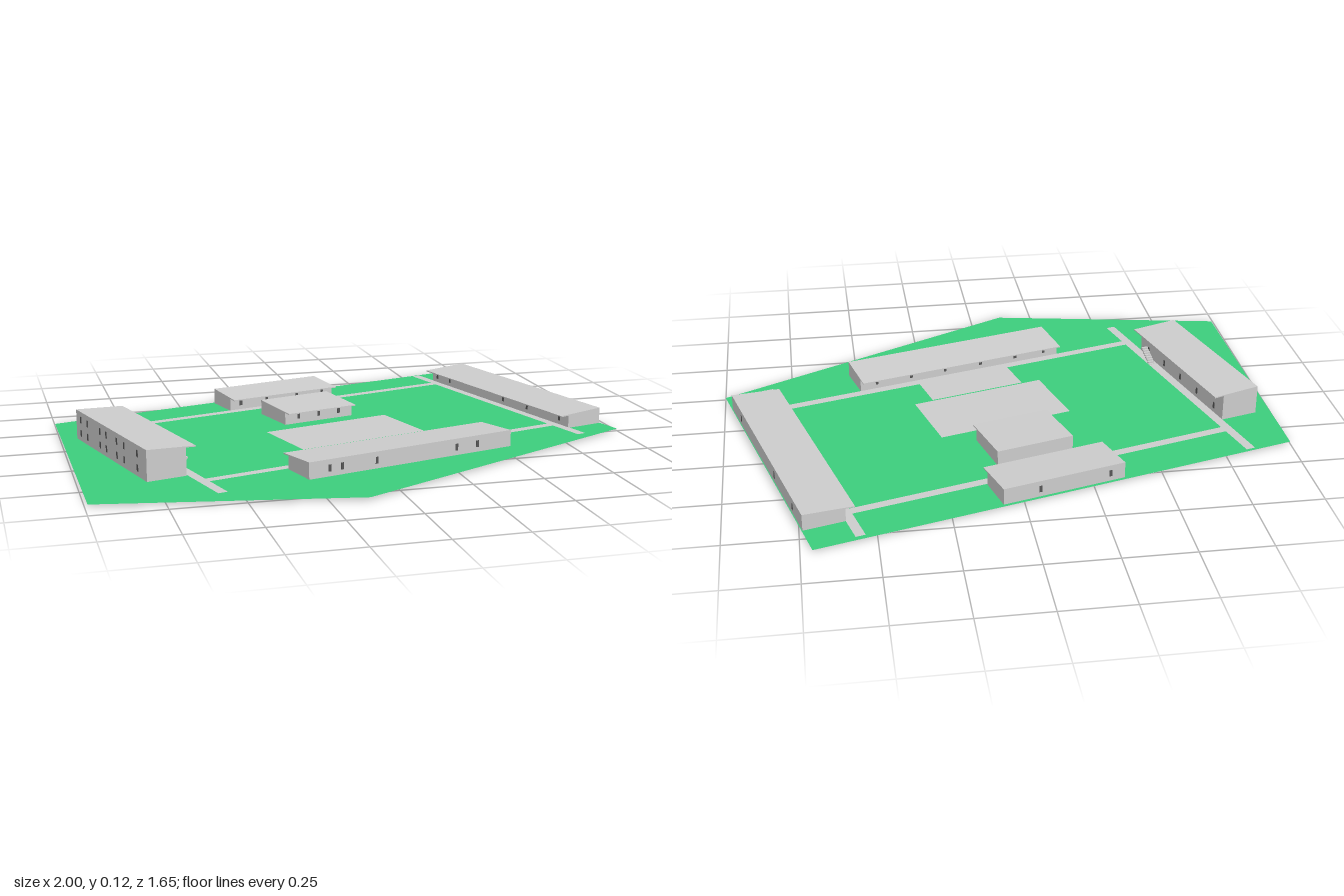
import * as THREE from 'three';

const GROUND = 0.008;
const grey = new THREE.MeshStandardMaterial({ color: 0xcccccc, flatShading: true });
const greySheet = new THREE.MeshStandardMaterial({ color: 0xcccccc, side: THREE.DoubleSide });
const green = new THREE.MeshStandardMaterial({ color: 0x3ccd7c, side: THREE.DoubleSide });
const dark = new THREE.MeshStandardMaterial({ color: 0x555555 });

function add(parent, name, geometry, material) {
  const mesh = new THREE.Mesh(geometry, material);
  mesh.name = name;
  parent.add(mesh);
  return mesh;
}

// Flat rectangle lying at height y, from (x0, z0) to (x1, z1)
function sheet(parent, name, [x0, x1, z0, z1], y) {
  const g = new THREE.PlaneGeometry(x1 - x0, z1 - z0).rotateX(-Math.PI / 2);
  g.translate((x0 + x1) / 2, y, (z0 + z1) / 2);
  return add(parent, name, g, greySheet);
}

// Cross-section given as [z, y] points, swept along x and centred
function sweep(points, length) {
  const shape = new THREE.Shape(points.map(([z, y]) => new THREE.Vector2(z, y)));
  return new THREE.ExtrudeGeometry(shape, { depth: length, bevelEnabled: false })
    .translate(0, 0, -length / 2).rotateY(-Math.PI / 2);
}

// Block with a lean-to roof: high wall at the back (-z), roof overhanging the front (+z)
function building(parent, name, o) {
  const group = new THREE.Group();
  group.name = name;
  group.position.set(o.x, 0, o.z);
  group.rotation.y = o.turn;
  parent.add(group);

  const back = -o.depth / 2, eave = o.depth / 2, wall = eave - o.overhang, t = 0.004;
  const top = z => o.high + (o.low - o.high) * (z - back) / o.depth;
  add(group, 'walls', sweep([[back, GROUND], [wall, GROUND], [wall, top(wall) - t], [back, o.high - t]], o.length), grey);
  add(group, 'roof', sweep([[back, o.high - t], [eave, o.low - t], [eave, o.low], [back, o.high]], o.length), grey);

  // Windows as thin panels, placed by fraction along the length
  const panels = (fractions, z, rows) => rows.forEach(y => fractions.forEach(f => {
    const g = new THREE.BoxGeometry(0.011, 0.024, 0.002);
    add(group, 'window', g.translate((f - 0.5) * o.length, y, z), dark);
  }));
  panels(o.backWindows || [], back, o.rows || [0.037]);
  panels(o.frontWindows || [], wall, [0.037]);
  return group;
}

export function createModel() {
  const model = new THREE.Group();
  model.name = 'campus';

  // Lawn
  const outline = [[-1, -0.37], [0.71, -0.83], [1, 0.25], [-0.12, 0.82], [-0.99, 0.66]];
  const lawn = new THREE.ShapeGeometry(new THREE.Shape(outline.map(([x, z]) => new THREE.Vector2(x, -z))));
  add(model, 'lawn', lawn.rotateX(-Math.PI / 2).translate(0, GROUND, 0), green);

  // Everything else shares a frame turned fifteen degrees
  const site = new THREE.Group();
  site.name = 'site';
  site.rotation.y = THREE.MathUtils.degToRad(15.06);
  model.add(site);

  sheet(site, 'basePlate', [-0.869, 0.9, -0.617, 0.502], GROUND - 0.001);

  // Paved courts and paths
  sheet(site, 'mainCourt', [-0.244, 0.264, -0.104, 0.171], GROUND + 0.002);
  sheet(site, 'smallCourt', [-0.174, 0.191, 0.177, 0.319], GROUND + 0.002);
  const w = 0.017;
  sheet(site, 'northPath', [-0.705, 0.735, -0.447 - w, -0.447 + w], GROUND + 0.002);
  sheet(site, 'southPath', [-0.705, 0.735, 0.335 - w, 0.335 + w], GROUND + 0.002);
  sheet(site, 'westPath', [-0.712 - w, -0.712 + w, -0.608, 0.487], GROUND + 0.0025);
  sheet(site, 'eastPath', [0.736 - w, 0.736 + w, -0.602, 0.498], GROUND + 0.0025);

  // Blocks around the courtyard, low eaves facing inward
  building(site, 'westBlock', {
    x: -0.783, z: -0.064, turn: Math.PI / 2, length: 0.63, depth: 0.178,
    high: 0.116, low: 0.107, overhang: 0.036, rows: [0.037, 0.086],
    backWindows: [0.12, 0.3, 0.4, 0.55, 0.64, 0.83, 0.93],
    frontWindows: [0.1, 0.3, 0.5, 0.7, 0.9],
  });
  building(site, 'southBlock', {
    x: 0.006, z: 0.408, turn: Math.PI, length: 0.818, depth: 0.177,
    high: 0.067, low: 0.057, overhang: 0.034,
    backWindows: [0.905, 0.845, 0.68, 0.283, 0.176],
    frontWindows: [0.08, 0.25, 0.42, 0.6, 0.78, 0.93],
  });
  building(site, 'eastBlock', {
    x: 0.808, z: -0.047, turn: -Math.PI / 2, length: 0.898, depth: 0.18,
    high: 0.067, low: 0.057, overhang: 0.033,
    backWindows: [0.123, 0.366, 0.85],
    frontWindows: [0.04, 0.14, 0.55, 0.72, 0.94],
  });
  building(site, 'northBlock', {
    x: 0.013, z: -0.518, turn: 0, length: 0.451, depth: 0.175,
    high: 0.067, low: 0.057, overhang: 0.034,
    backWindows: [0.12, 0.7],
    frontWindows: [0.1, 0.35, 0.65, 0.9],
  });
  building(site, 'centreBlock', {
    x: 0.012, z: -0.25, turn: 0, length: 0.288, depth: 0.223,
    high: 0.063, low: 0.056, overhang: 0.03,
    frontWindows: [0.2, 0.5, 0.8],
  });

  // Outside stair under the eave of the two-storey block
  const stair = new THREE.Group();
  stair.name = 'stair';
  site.add(stair);
  const steps = 9;
  for (let i = 0; i < steps; i++) {
    const g = new THREE.BoxGeometry(0.025, 0.006, 0.01);
    add(stair, 'step', g.translate(-0.709, 0.003 + i * 0.006, 0.114 + i * 0.009), grey);
  }
  return model;
}
